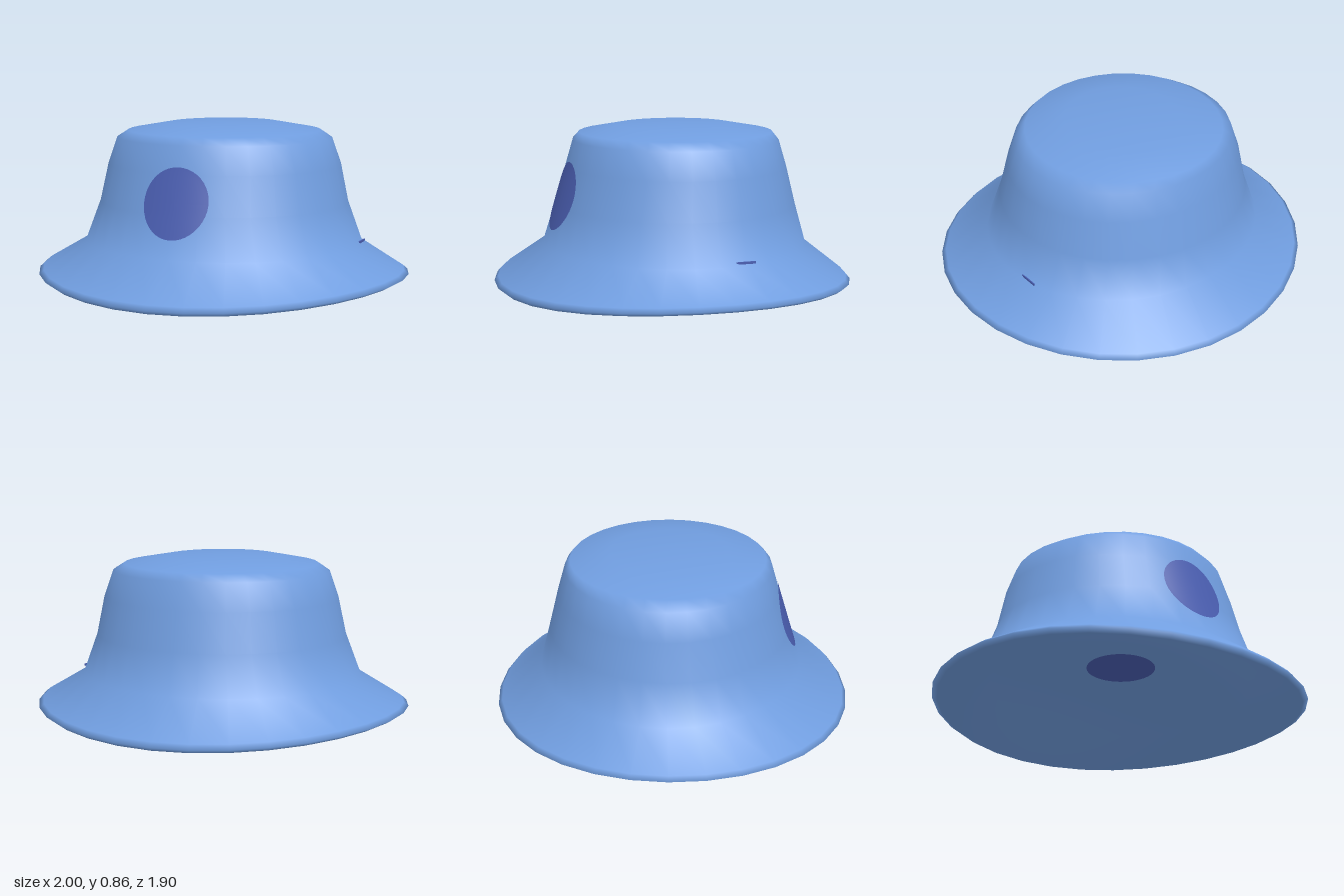
import * as THREE from 'three';
import { mergeVertices } from 'three/addons/utils/BufferGeometryUtils.js';

// Cross-sections from crown centre, down and out to the brim, then back in below.
// [height, half width, half depth, z centre, extra height at the sides]
const RINGS = [
  [0.855, 0, 0, -0.015, 0],
  [0.848, 0.3, 0.315, -0.015, 0],
  [0.81, 0.515, 0.515, -0.022, 0],
  [0.77, 0.58, 0.545, -0.02, 0],
  [0.63, 0.63, 0.585, -0.02, 0],
  [0.43, 0.67, 0.64, -0.015, 0],
  [0.22, 0.75, 0.7, -0.01, 0],
  [0.045, 0.975, 0.93, 0, 0.045],
  [0.02, 1.0, 0.95, 0, 0.05],
  [0.0, 0.97, 0.925, 0, 0.052],
  [0.125, 0.7, 0.66, 0, 0.01],
  [0.235, 0.35, 0.34, 0, 0],
  [0.3, 0, 0, 0, 0],
];
const SEGMENTS = 32;

function loft(rings) {
  const pos = [], index = [];
  rings.forEach(([y, rx, rz, zc, lift], i) => {
    for (let j = 0; j < SEGMENTS; j++) {
      const t = (j / SEGMENTS) * Math.PI * 2;
      pos.push(rx * Math.cos(t), y + lift * Math.cos(t) ** 2, zc + rz * Math.sin(t));
      if (i === rings.length - 1) continue;
      const a = i * SEGMENTS + j, b = i * SEGMENTS + ((j + 1) % SEGMENTS);
      const c = a + SEGMENTS, d = b + SEGMENTS;
      if (rings[i][1] > 0) index.push(a, b, c);
      if (rings[i + 1][1] > 0) index.push(b, d, c);
    }
  });
  const g = new THREE.BufferGeometry();
  g.setAttribute('position', new THREE.Float32BufferAttribute(pos, 3));
  g.setIndex(index);
  const merged = mergeVertices(g);
  merged.computeVertexNormals();
  return merged;
}

// Front wall depth at a given x and y
function frontZ(x, y) {
  let i = 3;
  while (i < 5 && RINGS[i + 1][0] > y) i++;
  const a = RINGS[i], b = RINGS[i + 1];
  const t = (a[0] - y) / (a[0] - b[0]);
  const [rx, rz, zc] = [1, 2, 3].map((k) => a[k] + (b[k] - a[k]) * t);
  return zc + rz * Math.sqrt(1 - (x / rx) ** 2);
}

// Round patch whose vertices are moved by a rule
function patch(radius, rule) {
  const g = new THREE.RingGeometry(0.001, radius, 40, 8);
  const p = g.attributes.position;
  for (let i = 0; i < p.count; i++) p.setXYZ(i, ...rule(p.getX(i), p.getY(i)));
  g.computeVertexNormals();
  return g;
}

export function createModel() {
  const group = new THREE.Group();
  group.name = 'bucketHat';
  const fabric = new THREE.MeshStandardMaterial({ color: 0x709ddf });
  fabric.name = 'blue fabric';
  const badge = new THREE.MeshStandardMaterial({ color: 0x4a5eb1 });
  badge.name = 'indigo patch';

  const add = (name, geometry, material) => {
    const mesh = new THREE.Mesh(geometry, material);
    mesh.name = name;
    group.add(mesh);
    return mesh;
  };

  // Crown, brim and underside
  add('hatBody', loft(RINGS), fabric);

  // Round patch on the front wall
  add('frontPatch', patch(0.176, (x, y) => [x, y + 0.49, frontZ(x, y + 0.49) + 0.003]), badge);

  // Round patch at the middle of the underside, facing down
  add('undersidePatch', patch(0.183, (x, y) => [x, 0.294 - 0.186 * Math.hypot(x, y), y]), badge);

  // Small stitch at the foot of the crown
  add('sideStitch', new THREE.BoxGeometry(0.006, 0.012, 0.1), badge).position.set(0.734, 0.233, -0.14);

  return group;
}
